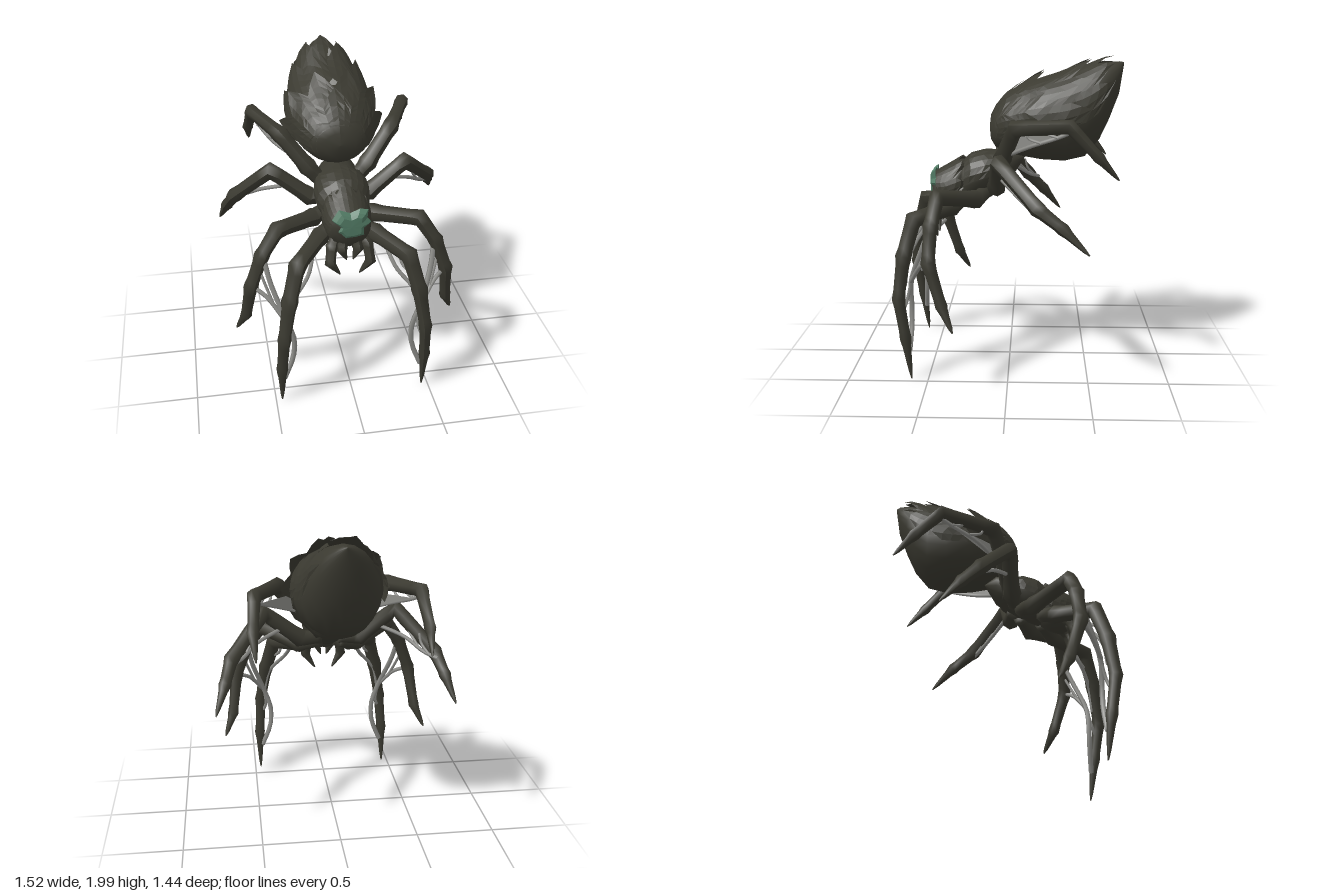
import * as THREE from 'three';

const shell = new THREE.MeshStandardMaterial({ color: 0x3b3a31, side: THREE.DoubleSide });
shell.name = 'darkShell';
const green = new THREE.MeshStandardMaterial({ color: 0x527b65, side: THREE.DoubleSide });
green.name = 'faceGreen';
const silk = new THREE.MeshStandardMaterial({ color: 0x8c8c88, side: THREE.DoubleSide });
silk.name = 'greySilk';

// Surface from a grid of points f(i, j); flat gives faceted normals
function grid(rows, cols, f, flat = true) {
  const pos = [], idx = [];
  for (let i = 0; i <= rows; i++) for (let j = 0; j <= cols; j++) pos.push(...f(i, j));
  for (let i = 0; i < rows; i++) for (let j = 0; j < cols; j++) {
    const a = i * (cols + 1) + j, c = a + cols + 1;
    idx.push(a, a + 1, c, a + 1, c + 1, c);
  }
  let g = new THREE.BufferGeometry();
  g.setAttribute('position', new THREE.Float32BufferAttribute(pos, 3));
  g.setIndex(idx);
  if (flat) g = g.toNonIndexed();
  g.computeVertexNormals();
  return g;
}

// Body profiles, front to back: [z, bottom y, top y, half width]
const ABDOMEN = [
  [0.13, 1.54, 1.54, 0], [0.12, 1.46, 1.62, 0.1], [0.09, 1.41, 1.68, 0.165], [0.03, 1.38, 1.75, 0.21],
  [-0.06, 1.355, 1.8, 0.245], [-0.2, 1.33, 1.85, 0.275], [-0.35, 1.32, 1.88, 0.268], [-0.48, 1.35, 1.92, 0.235],
  [-0.57, 1.46, 1.94, 0.195], [-0.63, 1.59, 1.95, 0.15], [-0.69, 1.75, 1.955, 0.085], [-0.72, 1.94, 1.95, 0],
];
const THORAX = [
  [0.36, 1.2, 1.2, 0], [0.32, 1.06, 1.31, 0.12], [0.25, 1.07, 1.37, 0.165], [0.16, 1.11, 1.39, 0.17],
  [0.06, 1.17, 1.38, 0.14], [-0.02, 1.22, 1.4, 0.12], [-0.1, 1.35, 1.35, 0],
];
const HEAD = [
  [0.502, 1.16, 1.16, 0], [0.498, 1.07, 1.24, 0.09], [0.46, 1.02, 1.265, 0.125], [0.41, 1.0, 1.29, 0.14],
  [0.34, 1.02, 1.32, 0.14], [0.28, 1.05, 1.34, 0.12], [0.24, 1.2, 1.2, 0],
];

// Point on a profile at depth z and angle a from the top, scaled by s
function surf(profile, z, a, s = 1) {
  let k = 0;
  while (k < profile.length - 2 && z < profile[k + 1][0]) k++;
  const p = profile[k], q = profile[k + 1];
  const t = THREE.MathUtils.clamp((p[0] - z) / (p[0] - q[0]), 0, 1);
  const [yb, yt, w] = [1, 2, 3].map(n => p[n] + (q[n] - p[n]) * t);
  return [s * w * Math.sin(a), (yb + yt) / 2 + s * (yt - yb) / 2 * Math.cos(a), z];
}
const body = (profile, sides) => grid(profile.length - 1, sides,
  (i, j) => surf(profile, profile[i][0], j / sides * Math.PI * 2), false);

// Overlapping scale layer with a toothed, flaring rear edge
function scales(profile, z0, z1, depth, teeth, spread, lift) {
  const cols = teeth * 4, rows = 5;
  return grid(rows, cols, (i, j) => {
    const v = i / rows, a = (j / cols * 2 - 1) * spread;
    const tooth = 1 - Math.abs((j % 4) / 2 - 1);
    const z = THREE.MathUtils.lerp(z0, z1 - depth * tooth, v);
    return surf(profile, z, a, 1.012 + lift * v * v * (0.35 + 0.65 * tooth));
  });
}

// Faceted jointed limb through points [x, y, z, radius]
function limb(points, side = 1, sides = 7) {
  const P = points.map(p => new THREE.Vector3(p[0] * side, p[1], p[2]));
  const rings = [];
  P.forEach((p, k) => {
    const t = P[Math.min(k + 1, P.length - 1)].clone().sub(P[Math.max(k - 1, 0)]).normalize();
    const r = points[k][3];
    if (k === 0) rings.push([p, 0, t]);
    rings.push([p, k === P.length - 1 ? 0.004 : r * 1.12, t]);
    if (k < P.length - 1) {
      const n = P[k + 1], d = n.clone().sub(p).normalize(), r2 = points[k + 1][3];
      for (const f of [0.22, 0.8])
        rings.push([p.clone().lerp(n, f), THREE.MathUtils.lerp(r, r2, f) * 0.97, d]);
    }
  });
  let u = new THREE.Vector3(0.3, 0.2, 1);
  const frames = rings.map(([p, r, t]) => {
    u = u.clone().addScaledVector(t, -u.dot(t)).normalize();
    return { p, r, u, v: t.clone().cross(u) };
  });
  return grid(frames.length - 1, sides, (i, j) => {
    const { p, r, u, v } = frames[i], a = j / sides * Math.PI * 2;
    return p.clone().addScaledVector(u, r * Math.cos(a)).addScaledVector(v, r * Math.sin(a)).toArray();
  }, false);
}

// Leg joints from hip to foot; the third pair differs a little by side
const LEGS = {
  frontLeg: [[0.06, 1.1, 0.28, 0.045], [0.17, 1.05, 0.36, 0.055], [0.34, 1.0, 0.59, 0.052], [0.4, 0.78, 0.65, 0.048],
    [0.443, 0.52, 0.68, 0.039], [0.458, 0.27, 0.64, 0.034], [0.46, 0, 0.605, 0.008]],
  secondLeg: [[0.06, 1.14, 0.14, 0.045], [0.19, 1.1, 0.21, 0.055], [0.44, 1.16, 0.43, 0.05], [0.54, 1.01, 0.46, 0.045],
    [0.615, 0.8, 0.47, 0.042], [0.65, 0.54, 0.39, 0.034], [0.71, 0.395, 0.32, 0.01]],
  thirdLeg: [[0.06, 1.18, 0.1, 0.045], [0.19, 1.18, 0.08, 0.055], [0.43, 1.37, 0.055, 0.05], [0.65, 1.14, -0.18, 0.045],
    [0.695, 1.03, -0.33, 0.036], [0.755, 0.89, -0.48, 0.008]],
  backLeg: [[0.06, 1.22, 0.06, 0.045], [0.19, 1.37, 0.04, 0.055], [0.35, 1.57, -0.04, 0.05], [0.5, 1.6, -0.37, 0.042],
    [0.52, 1.42, -0.54, 0.033], [0.51, 1.285, -0.66, 0.008]],
};
const RIGHT_THIRD = [...LEGS.thirdLeg.slice(0, 3), [0.66, 1.12, -0.12, 0.045], [0.705, 1.0, -0.23, 0.036], [0.755, 0.845, -0.35, 0.008]];

// Silk strands: [radius, points...]
const STRANDS = [
  [0.017, [0.53, 1.0, 0.46], [0.5, 0.85, 0.52], [0.42, 0.62, 0.6], [0.375, 0.48, 0.605], [0.38, 0.34, 0.605], [0.44, 0.18, 0.615]],
  [0.014, [0.6, 0.8, 0.47], [0.52, 0.75, 0.53], [0.43, 0.63, 0.6]],
  [0.01, [0.56, 0.92, 0.46], [0.53, 0.83, 0.5], [0.49, 0.72, 0.55]],
  [0.013, [0.22, 1.02, 0.44], [0.27, 0.9, 0.55], [0.38, 0.76, 0.62], [0.42, 0.6, 0.64]],
  [0.01, [0.29, 1.0, 0.52], [0.31, 0.92, 0.56], [0.37, 0.87, 0.62]],
  [0.011, [0.42, 0.62, 0.6], [0.41, 0.5, 0.63], [0.44, 0.42, 0.66]],
  [0.013, [0.32, 1.26, 0.05], [0.48, 1.2, -0.04], [0.58, 1.13, -0.13], [0.66, 1.1, -0.19]],
  [0.009, [0.48, 1.33, 0.0], [0.5, 1.25, -0.03], [0.55, 1.16, -0.1]],
  [0.009, [0.56, 1.24, -0.09], [0.57, 1.18, -0.11], [0.61, 1.12, -0.16]],
  [0.013, [0.22, 1.39, 0.0], [0.38, 1.47, -0.15], [0.46, 1.53, -0.3], [0.5, 1.57, -0.38]],
  [0.009, [0.39, 1.58, -0.11], [0.39, 1.52, -0.12], [0.42, 1.49, -0.2]],
  [0.009, [0.44, 1.59, -0.22], [0.44, 1.55, -0.24], [0.47, 1.53, -0.3]],
];

export function createModel() {
  const model = new THREE.Group();
  model.name = 'spider';
  const add = (name, geometry, material = shell) => {
    const m = new THREE.Mesh(geometry, material);
    m.name = name;
    model.add(m);
  };

  // Body
  add('abdomen', body(ABDOMEN, 20));
  add('thorax', body(THORAX, 14));
  add('head', body(HEAD, 14));

  // Layered scales
  add('frontAbdomenScales', scales(ABDOMEN, 0.1, 0.02, 0.11, 5, 2.0, 0.1));
  add('middleAbdomenScales', scales(ABDOMEN, 0.0, -0.1, 0.12, 6, 1.9, 0.22));
  add('rearAbdomenScales', scales(ABDOMEN, -0.1, -0.38, 0.13, 6, 1.8, 0.2));
  add('tailScales', scales(ABDOMEN, -0.36, -0.55, 0.11, 5, 1.7, 0.26));
  add('thoraxScales', scales(THORAX, 0.29, 0.13, 0.07, 3, 1.7, 0.1));
  add('headScales', scales(HEAD, 0.47, 0.34, 0.07, 5, 2.0, 0.22));

  // Pale triangles along the back: [front z, length, half angle, offset angle, scale]
  for (const [z, len, half, turn, s] of [[-0.13, 0.06, 0.17, 0.02, 1.05], [-0.41, 0.1, 0.1, 0.13, 1.11]])
    add('backPatch', grid(2, 2, (i, j) =>
      surf(ABDOMEN, z - len * (1 - i / 2), turn + (j - 1) * half * i / 2, s)), silk);

  // Green face marking draped over the front of the head
  const face = [[0, 1.26], [0.06, 1.285], [0.11, 1.275], [0.105, 1.22], [0.128, 1.19], [0.1, 1.16], [0.1, 1.1],
    [0.04, 1.085], [-0.04, 1.08], [-0.075, 1.12], [-0.1, 1.14], [-0.08, 1.18], [-0.112, 1.22], [-0.07, 1.285]];
  const lerp = THREE.MathUtils.lerp;
  add('faceMarking', grid(3, face.length, (i, j) => {
    const [x, y] = face[j % face.length], k = [0, 0.6, 0.8, 1][i];
    return [x * k, lerp(1.18, y, k), [0.512, 0.51, 0.497, 0.472][i]];
  }), green);

  for (const side of [1, -1]) {
    const tag = side > 0 ? 'left' : 'right';

    // Legs
    for (const [name, path] of Object.entries(LEGS))
      add(`${tag} ${name}`, limb(side < 0 && name === 'thirdLeg' ? RIGHT_THIRD : path, side));

    // Feelers and fangs below the head
    add(`${tag} feeler`, limb([[0.07, 1.08, 0.4, 0.035], [0.11, 1.03, 0.46, 0.035], [0.125, 0.93, 0.49, 0.032], [0.06, 0.83, 0.47, 0.006]], side, 6));
    add(`${tag} fang`, limb([[0.04, 1.07, 0.44, 0.04], [0.05, 1.01, 0.47, 0.033], [0.02, 0.93, 0.465, 0.006]], side, 6));

    // Hanging silk
    for (const [r, ...pts] of STRANDS) {
      const curve = new THREE.CatmullRomCurve3(pts.map(p => new THREE.Vector3(p[0] * side, p[1], p[2])));
      add(`${tag} silkStrand`, new THREE.TubeGeometry(curve, 14, r, 5), silk);
    }
    add(`${tag} silkSheet`, grid(4, 1, (i, j) => {
      const t = i / 4, w = j * (1 - t) * 0.11;
      return [side * (0.24 + 0.22 * t), 1.4 + 0.14 * t + w, -0.02 - 0.3 * t];
    }), silk);
  }
  return model;
}
